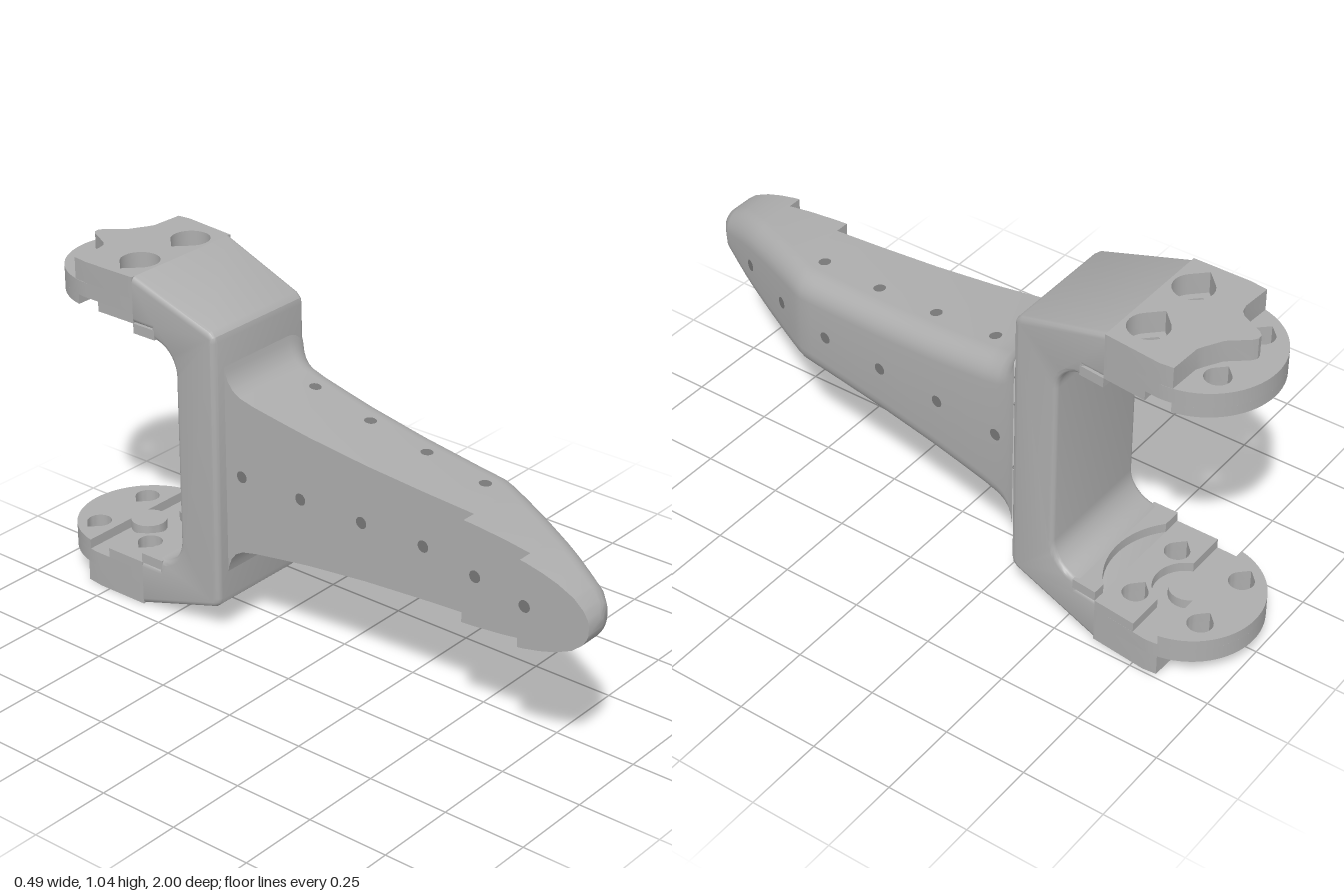
import * as THREE from 'three';
import { toCreasedNormals } from 'three/addons/utils/BufferGeometryUtils.js';

const H = 1.045, MID = H / 2;          // total height and mirror plane
const LEFT = -0.195;                   // flat side of the bracket
const CX = 0.0225, CV = 0.785, R = 0.2175; // mounting disc centre (x, -z) and radius

// piecewise linear lookup in a list of [z, value], z falling
function lookup(table, z) {
  for (let i = 1; i < table.length; i++) {
    const [z0, a] = table[i - 1], [z1, b] = table[i];
    if (z >= z1) return a + (b - a) * (z0 - z) / (z0 - z1);
  }
  return table[table.length - 1][1];
}
const SIDE = [[1, -0.18], [0.985, -0.14], [0.955, -0.11], [0.53, 0.09], [0.5, 0.101], [0.46, 0.106], [-1, 0.2625]];
const HALF = [[1, 0.014], [0.995, 0.03], [0.98, 0.052], [0.95, 0.077], [0.9, 0.1], [0.85, 0.115], [0.8, 0.126],
  [0.7, 0.141], [0.6, 0.151], [0.4, 0.163], [0.2, 0.178], [0, 0.2], [-0.1, 0.215], [-0.2, 0.231],
  [-0.25, 0.243], [-0.275, 0.258], [-0.292, 0.28], [-0.302, 0.305], [-0.308, 0.34]];
const sideX = z => lookup(SIDE, z);
const halfY = z => lookup(HALF, z);

function arc(x, y, r, a0, a1, n = 16) {
  return Array.from({ length: n + 1 }, (_, i) => {
    const a = a0 + (a1 - a0) * i / n;
    return [x + r * Math.cos(a), y + r * Math.sin(a)];
  });
}
const shapeOf = pts => new THREE.Shape(pts.map(p => new THREE.Vector2(...p)));

// round hole with a point towards -x
function teardrop(x, v, r) {
  const pts = [...arc(x, v, r, -Math.PI * 0.75, Math.PI * 0.75, 24), [x - r * 1.41, v]];
  return new THREE.Path(pts.map(p => new THREE.Vector2(...p)));
}

// plan outline in (x, -z), extruded from y0 to y1
function plate(pts, y0, y1, holes = []) {
  const s = shapeOf(pts);
  s.holes = holes.map(h => teardrop(...h));
  const g = new THREE.ExtrudeGeometry(s, { depth: y1 - y0, bevelEnabled: false });
  g.rotateX(-Math.PI / 2);
  g.translate(0, y0, 0);
  return toCreasedNormals(g, 0.6);
}

// tapered arm lofted from sections with a flat left side and rounded right corners
function armGeometry() {
  const leftAt = [[1, 0.78, -0.245], [0.78, 0.565, -0.2], [0.565, -0.32, -0.155]];
  const breaks = [...new Set([...HALF, ...SIDE].map(p => p[0]))];
  const rings = [];
  for (const [z0, z1, left] of leftAt) {
    const zs = [z0, ...breaks.filter(z => z < z0 && z > z1), Math.max(z1, -0.308)].sort((a, b) => b - a);
    for (const z of zs) {
      const h = halfY(z), x = sideX(z), r = Math.min(0.07, h * 0.8);
      rings.push([[left, MID - h],
        ...arc(x - r, MID - h + r, r, -Math.PI / 2, 0, 8),
        ...arc(x - r, MID + h - r, r, 0, Math.PI / 2, 8),
        [left, MID + h]].map(p => [...p, z]));
    }
  }
  const n = rings[0].length, pos = rings.flat(2), idx = [];
  for (let i = 0; i < rings.length - 1; i++) {
    for (let j = 0; j < n; j++) {
      const a = i * n + j, b = i * n + (j + 1) % n, c = a + n, d = b + n;
      idx.push(a, c, b, b, c, d);
    }
  }
  for (let j = 1; j < n - 1; j++) idx.push(0, j, j + 1);
  const g = new THREE.BufferGeometry();
  g.setAttribute('position', new THREE.Float32BufferAttribute(pos, 3));
  g.setIndex(idx);
  return toCreasedNormals(g, 0.6);
}

// C-shaped bracket: side profile in (-z, y), widened to follow the slanted side
function bracketGeometry() {
  const top = [[0.305, 0.925], [0.309, 0.942], [0.325, 0.956], [0.61, H], [0.61, 0.905], [0.545, 0.905],
    ...arc(0.545, 0.785, 0.09, Math.PI / 2, Math.PI, 10)];
  const pts = [...top, ...top.map(([u, y]) => [u, H - y]).reverse()];
  const b = 0.015, w = 0.4;
  const g = new THREE.ExtrudeGeometry(shapeOf(pts), {
    depth: w - 2 * b, bevelEnabled: true, bevelSize: b, bevelThickness: b, bevelOffset: -b, bevelSegments: 3,
  });
  g.translate(0, 0, b);
  g.rotateY(Math.PI / 2);
  const p = g.attributes.position;
  for (let i = 0; i < p.count; i++) {
    const z = p.getZ(i) < -0.585 ? -0.61 : p.getZ(i);
    p.setXYZ(i, LEFT + p.getX(i) / w * (sideX(z) - LEFT), p.getY(i), z);
  }
  return toCreasedNormals(g, 0.6);
}

export function createModel() {
  const model = new THREE.Group();
  const grey = new THREE.MeshStandardMaterial({ color: 0xadadad });
  grey.name = 'grey body';
  const dark = new THREE.MeshStandardMaterial({ color: 0x777777 });
  dark.name = 'hole grey';
  const add = (parent, name, geo, mat = grey) => {
    const m = new THREE.Mesh(geo, mat);
    m.name = name;
    parent.add(m);
    return m;
  };

  add(model, 'arm', armGeometry());
  add(model, 'bracket', bracketGeometry());

  // mounting flange outlines
  const front = [sideX(-0.61), 0.61];
  const disc = [[LEFT, 0.61], front, ...arc(CX, CV, R, 0, Math.PI, 40)];
  const ridge = [[LEFT, 0.61], front, [0.24, CV], [0.236, 0.826], [0.135, 0.83], [0.115, 0.84], [0.065, 0.868],
    [0.02, 0.922], [0.005, 0.932], [-0.01, 0.93], [-0.022, 0.918], [-0.055, 0.852], [-0.07, 0.838],
    [-0.095, 0.832], [-0.188, 0.838], [LEFT, CV]];
  const a0 = Math.asin(0.04 / R), a1 = Math.asin(0.04 / 0.055), a2 = Math.asin(0.04 / 0.1);
  const rearLand = [...arc(CX, CV, R, a0, Math.PI - a0, 32),
    ...arc(CX, CV, 0.055, Math.PI - a1, 2 * Math.PI + a1)];
  const frontLand = [front, [sideX(-0.745), 0.745],
    ...arc(CX, CV, 0.1, 2 * Math.PI - a2, Math.PI + a2), [LEFT, 0.745], [LEFT, 0.61]];
  const p0 = Math.asin(0.175 / 0.235);
  const pad = [[LEFT, 0.53], [sideX(-0.53), 0.53], front,
    ...arc(CX, CV, 0.235, 2 * Math.PI - p0, Math.PI + p0), [LEFT, 0.61]];

  const xs = [-0.085, 0.127];
  const frontHoles = r => xs.map(x => [x, 0.68, r]);
  const rearHoles = xs.map(x => [x, 0.89, 0.037]);
  const layers = [
    ['flangeDisc', disc, 0.935, 0.98, [...frontHoles(0.037), ...rearHoles]],
    ['outerRaisedBlock', ridge, 0.98, H, frontHoles(0.058)],
    ['innerRearLand', rearLand, 0.905, 0.935, rearHoles],
    ['innerFrontLand', frontLand, 0.905, 0.935, frontHoles(0.037)],
    ['innerStopPad', pad, 0.875, 0.905, []],
  ];
  for (const upper of [true, false]) {
    const flange = new THREE.Group();
    flange.name = upper ? 'upperFlange' : 'lowerFlange';
    for (const [name, pts, y0, y1, holes] of layers) {
      add(flange, name, upper ? plate(pts, y0, y1, holes) : plate(pts, H - y1, H - y0, holes));
    }
    model.add(flange);
  }

  // small pin holes along the arm, laid on the surface
  const pin = new THREE.CircleGeometry(0.018, 20);
  const addPin = (name, at, normal) => {
    const n = normal.normalize();
    const m = add(model, name, pin, dark);
    m.position.copy(at).addScaledVector(n, 0.002);
    m.quaternion.setFromUnitVectors(new THREE.Vector3(0, 0, 1), n);
  };
  const slope = (f, z) => (f(z + 0.01) - f(z - 0.01)) / 0.02;
  for (const z of [0.8, 0.607, 0.4, 0.187, -0.03, -0.245]) {
    const left = z > 0.78 ? -0.245 : z > 0.565 ? -0.2 : -0.155;
    addPin('rightPinHole', new THREE.Vector3(sideX(z), MID, z), new THREE.Vector3(1, 0, -slope(sideX, z)));
    addPin('leftPinHole', new THREE.Vector3(left, MID, z), new THREE.Vector3(-1, 0, 0));
  }
  [[0.49, -0.005], [0.273, 0.02], [0.058, 0.042], [-0.16, 0.065]].forEach(([z, x]) => {
    for (const s of [1, -1]) {
      addPin(s > 0 ? 'topPinHole' : 'bottomPinHole', new THREE.Vector3(x, MID + s * halfY(z), z),
        new THREE.Vector3(0, s, -slope(halfY, z)));
    }
  });
  return model;
}
